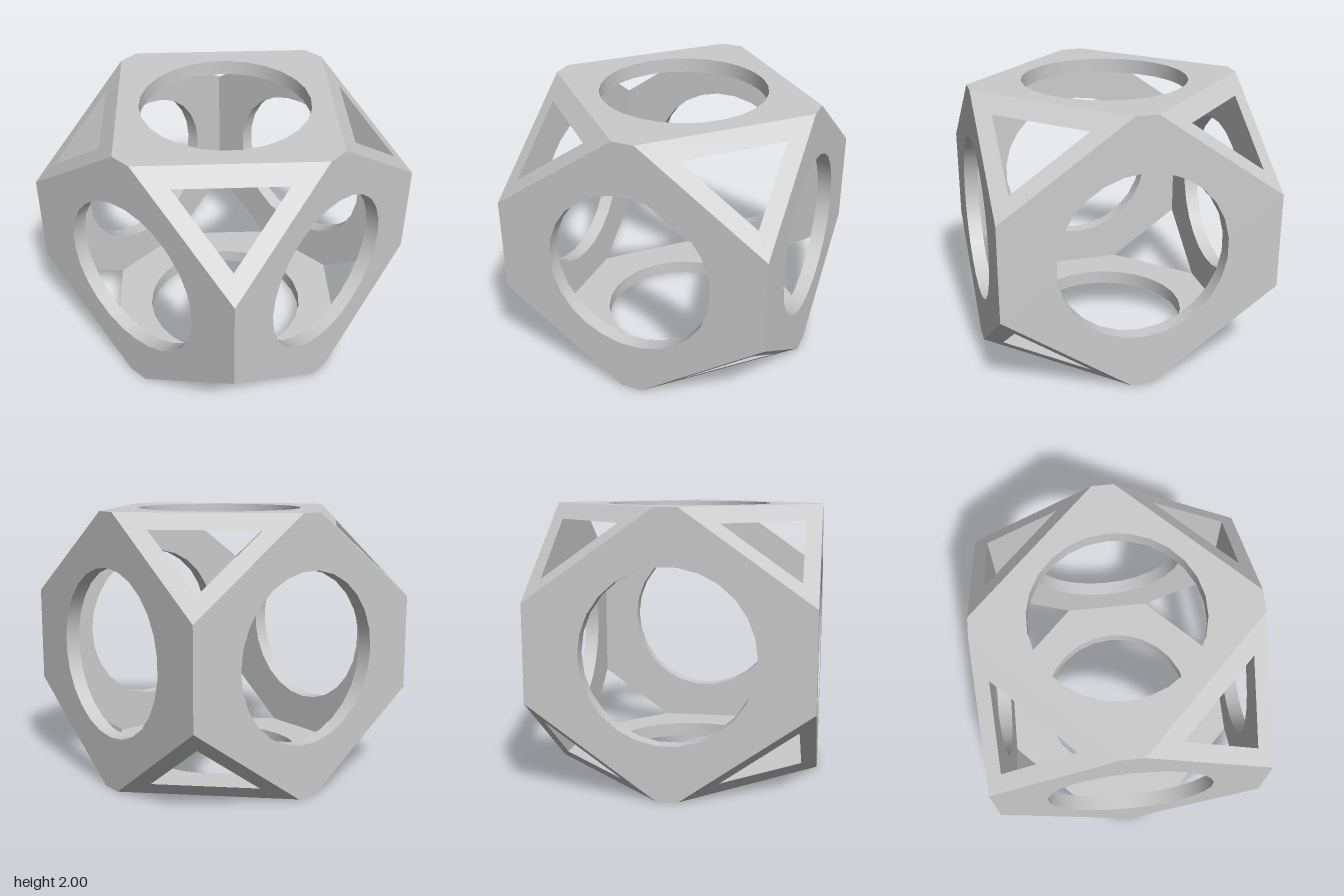
import * as THREE from 'three';

const OUTER = 1, INNER = 0.89;              // half sizes of the block and its cavity
const CUT = { x: 0.92, y: 0.65, z: 0.92 };  // corner cut lengths along each axis
const RADIUS = 0.612, SIDES = 26;

// How far the corner cut reaches along one axis, on a cube of half size h
function reach(axis, h) {
  let t = 1;
  for (const k of ['x', 'y', 'z']) if (k !== axis) t -= (1 - h) / CUT[k];
  return 1 - CUT[axis] * t;
}

// Square face with cut corners and a round hole
function faceGeometry(u, v, h, start) {
  const a = reach(u, h), b = reach(v, h);
  const shape = new THREE.Shape([
    [a, -h], [h, -b], [h, b], [a, h], [-a, h], [-h, b], [-h, -b], [-a, -h],
  ].map(([x, y]) => new THREE.Vector2(x, y)));
  const ring = [];
  for (let i = 0; i < SIDES; i++) {
    const t = start - i * 2 * Math.PI / SIDES;
    ring.push(new THREE.Vector2(RADIUS * Math.cos(t), RADIUS * Math.sin(t)));
  }
  shape.holes.push(new THREE.Path(ring));
  return new THREE.ShapeGeometry(shape);
}

// Wall facing +z: outer face, cavity face and the bore between them
function wall(name, u, v, start, material) {
  const group = new THREE.Group();
  group.name = name;
  const add = (part, geometry) => {
    const mesh = new THREE.Mesh(geometry, material);
    mesh.name = part;
    group.add(mesh);
  };
  add('outerFace', faceGeometry(u, v, OUTER, start).translate(0, 0, OUTER));
  add('cavityFace', faceGeometry(u, v, INNER, start).rotateY(Math.PI).translate(0, 0, INNER));
  const profile = [new THREE.Vector2(RADIUS, OUTER), new THREE.Vector2(RADIUS, INNER)];
  add('bore', new THREE.LatheGeometry(profile, SIDES, Math.PI / 2 - start).rotateX(Math.PI / 2));
  return group;
}

// Flat triangular frame around the opening at one corner
function cornerFrame(sx, sy, sz, material) {
  const triangle = (h) => [
    [reach('x', h), h, h], [h, reach('y', h), h], [h, h, reach('z', h)],
  ].map(([x, y, z]) => [x * sx, y * sy, z * sz]);
  const out = triangle(OUTER), inn = triangle(INNER);
  const pos = [];
  for (let i = 0; i < 3; i++) {
    const j = (i + 1) % 3;
    const quad = [out[i], out[j], inn[j], inn[i]];
    // the corner order that faces outward depends on the mirroring
    if (sx * sy * sz > 0) quad.reverse();
    for (const k of [0, 1, 2, 0, 2, 3]) pos.push(...quad[k]);
  }
  const geometry = new THREE.BufferGeometry();
  geometry.setAttribute('position', new THREE.Float32BufferAttribute(pos, 3));
  geometry.computeVertexNormals();
  // turn the triangles round if they point at the centre
  const n = geometry.attributes.normal;
  if (n.getX(0) * sx + n.getY(0) * sy + n.getZ(0) * sz < 0) {
    const flipped = [];
    for (let i = pos.length - 3; i >= 0; i -= 3) flipped.push(pos[i], pos[i + 1], pos[i + 2]);
    geometry.setAttribute('position', new THREE.Float32BufferAttribute(flipped, 3));
    geometry.computeVertexNormals();
  }
  const mesh = new THREE.Mesh(geometry, material);
  mesh.name = 'cornerFrame';
  return mesh;
}

export function createModel() {
  const model = new THREE.Group();
  model.name = 'hollowBlock';
  const material = new THREE.MeshStandardMaterial({ color: 0xcccccc });
  const body = new THREE.Group();
  body.name = 'body';
  body.position.y = 1;
  model.add(body);

  // Six walls, turned from +z
  const q = Math.PI / 2;
  for (const [name, u, v, start, rx, ry] of [
    ['frontWall', 'x', 'y', 0, 0, 0],
    ['backWall', 'x', 'y', 0, 0, 2 * q],
    ['leftWall', 'z', 'y', q, 0, q],
    ['rightWall', 'z', 'y', q, 0, -q],
    ['topWall', 'x', 'z', 0, -q, 0],
    ['bottomWall', 'x', 'z', 0, q, 0],
  ]) {
    const part = wall(name, u, v, start, material);
    part.rotation.set(rx, ry, 0);
    body.add(part);
  }

  // Eight corner frames
  for (const sx of [-1, 1]) for (const sy of [-1, 1]) for (const sz of [-1, 1])
    body.add(cornerFrame(sx, sy, sz, material));

  return model;
}
